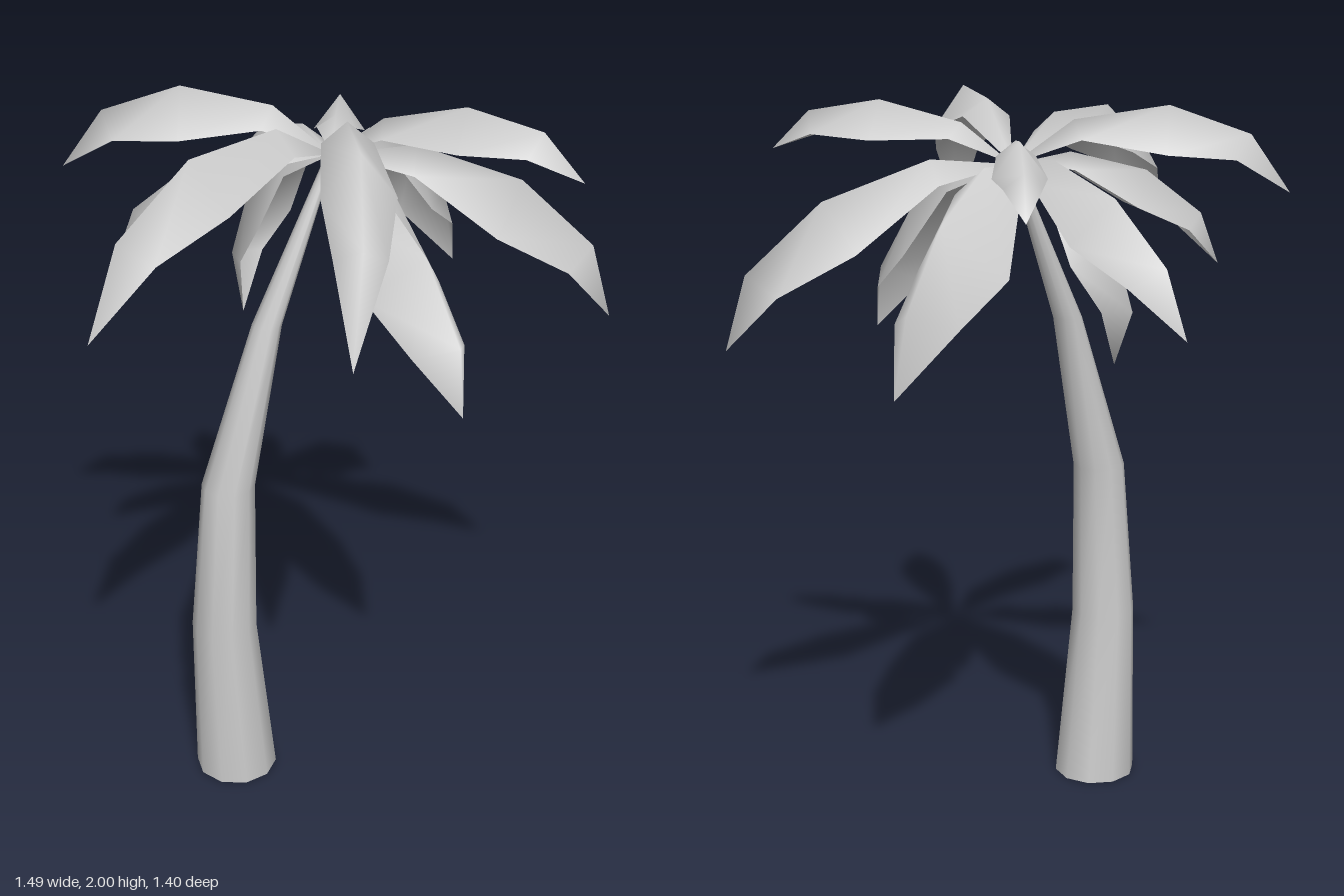
import * as THREE from 'three';

const CROWN = new THREE.Vector3(0.105, 1.82, -0.007);
const grey = () => new THREE.MeshStandardMaterial({ color: 0xcccccc });

// Bent, tapering trunk: a cylinder whose rings are moved to [centre x, y, radius]
function makeTrunk() {
  const rings = [
    [-0.222, 0, 0.117],
    [-0.253, 0.5, 0.091],
    [-0.23, 0.945, 0.073],
    [-0.1, 1.39, 0.04],
    [0.1, 1.82, 0.012],
  ];
  const sides = 10;
  const n = rings.length - 1;
  const geo = new THREE.CylinderGeometry(1, 1, 1, sides, n, false, Math.PI / 2);
  const pos = geo.attributes.position;
  for (let i = 0; i < pos.count; i++) {
    const [cx, y, r] = rings[Math.round((pos.getY(i) + 0.5) * n)];
    pos.setXYZ(i, cx + pos.getX(i) * r, y, CROWN.z + pos.getZ(i) * r);
  }
  geo.computeVertexNormals();
  // Smooth the seam: first and last vertex of each ring share a normal
  const nor = geo.attributes.normal;
  for (let row = 0; row <= n; row++) {
    const a = row * (sides + 1);
    const b = a + sides;
    const mean = new THREE.Vector3().fromBufferAttribute(nor, a)
      .add(new THREE.Vector3().fromBufferAttribute(nor, b)).normalize();
    for (const i of [a, b]) nor.setXYZ(i, mean.x, mean.y, mean.z);
  }
  const trunk = new THREE.Mesh(geo, grey());
  trunk.name = 'trunk';
  return trunk;
}

// Arched leaf folded along its midrib, running from the crown to a pointed tip;
// sway bends it sideways
function makeLeaf(tip, arch, halfWidth, sway) {
  const chord = tip.clone().sub(CROWN);
  const length = chord.length();
  const along = chord.clone().normalize();
  const side = new THREE.Vector3(0, 1, 0).cross(along).normalize();
  const up = along.clone().cross(side);

  // [distance along, arch height, width, fold depth] as fractions
  const sections = [
    [0.2, 0.68, 0.72, 0.8],
    [0.53, 1, 1, 1.35],
    [0.83, 0.73, 0.7, 1.2],
  ];
  const rib = sections.map(([u, v]) => CROWN.clone()
    .addScaledVector(along, u * length)
    .addScaledVector(up, v * arch * length)
    .addScaledVector(side, v * sway));
  const path = [CROWN, ...rib, tip];

  const points = [CROWN];
  sections.forEach(([, , w, fold], i) => {
    const tangent = path[i + 2].clone().sub(path[i]).normalize();
    const normal = tangent.cross(side).normalize();
    const half = w * halfWidth;
    const edge = (s) => rib[i].clone()
      .addScaledVector(side, s * half)
      .addScaledVector(normal, -fold * half);
    points.push(edge(-1), rib[i], edge(1));
  });
  points.push(tip);

  const index = [0, 2, 1, 0, 3, 2];
  for (let a = 1; a < 7; a += 3) {
    for (const p of [a, a + 1]) {
      index.push(p, p + 1, p + 4, p, p + 4, p + 3);
    }
  }
  index.push(7, 8, 10, 8, 9, 10);

  const geo = new THREE.BufferGeometry().setFromPoints(points);
  geo.setIndex(index);
  geo.computeVertexNormals();
  const material = grey();
  material.side = THREE.DoubleSide;
  return new THREE.Mesh(geo, material);
}

export function createModel() {
  const palm = new THREE.Group();
  palm.name = 'palmTree';
  palm.add(makeTrunk());

  // Leaves: tip x, y, z, arch, half width, sway
  const leaves = [
    [0.197, 1.46, -0.7, 0.205, 0.095, -0.015],
    [-0.42, 1.745, -0.51, 0.265, 0.09, -0.025],
    [-0.385, 1.54, -0.3, 0.22, 0.075, 0],
    [-0.747, 1.59, 0.24, 0.277, 0.098, 0],
    [-0.325, 1.59, 0.7, 0.36, 0.09, 0.033],
    [0.092, 1.31, 0.587, 0.21, 0.116, 0],
    [0.446, 1.845, 0.578, 0.22, 0.075, 0.035],
    [0.747, 1.355, 0.398, 0.215, 0.107, 0.025],
    [0.703, 1.32, -0.23, 0.255, 0.128, 0.04],
    [0.385, 1.72, -0.35, 0.3, 0.07, 0],
    [-0.01, 1.31, -0.27, 0.3, 0.078, -0.055],
  ];
  const crown = new THREE.Group();
  crown.name = 'crown';
  leaves.forEach(([x, y, z, arch, halfWidth, sway], i) => {
    const leaf = makeLeaf(new THREE.Vector3(x, y, z), arch, halfWidth, sway);
    leaf.name = `leaf${i + 1}`;
    crown.add(leaf);
  });
  palm.add(crown);
  return palm;
}
